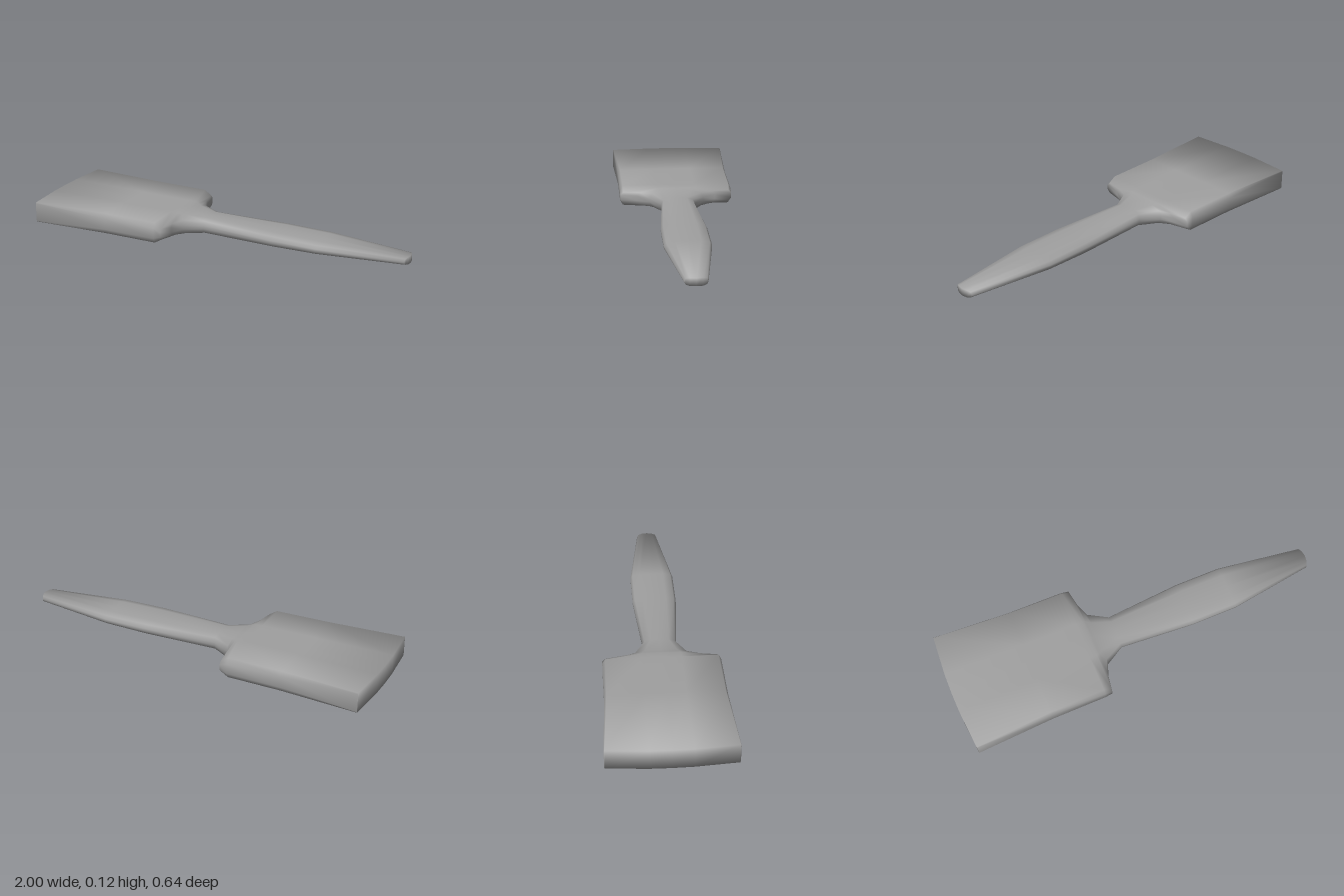
import * as THREE from 'three';

// Cross-sections along the length: x, half width, bottom, top, then as shares of
// the half width and half height: flat top, corner z, corner y, upright edge
const STATIONS = [
  [-1.0, 0.318, 0.015, 0.123, 0.33, 0.99, 1, 0.9],
  [-0.57, 0.302, 0.009, 0.118, 0.33, 0.96, 1, 0.55],
  [-0.28, 0.301, 0.004, 0.113, 0.33, 0.95, 1, 0.5],
  [-0.24, 0.3, 0.003, 0.111, 0.33, 0.95, 0.55, 0.25],
  [-0.225, 0.21, 0.002, 0.108, 0.45, 0.93, 0.6, 0.25],
  [-0.2, 0.145, 0.0, 0.102, 0.55, 0.9, 0.7, 0.2],
  [-0.1, 0.087, 0.007, 0.092, 0.55, 0.9, 0.75, 0.2],
  [0.3, 0.117, 0.011, 0.081, 0.55, 0.9, 0.75, 0.2],
  [0.54, 0.117, 0.013, 0.073, 0.55, 0.9, 0.75, 0.2],
  [1.0, 0.055, 0.017, 0.056, 0.55, 0.9, 0.75, 0.2],
];
const HALF = 8, RING = 14;

// One closed ring of [z, y] points, starting at the top centre and going to +z
function section([, w, y0, y1, flat, cornerZ, cornerY, edge]) {
  const mid = (y0 + y1) / 2, h = (y1 - y0) / 2;
  const quarter = [[0, 1], [flat, 1], [cornerZ, cornerY], [1, edge]];
  const half = [...quarter, ...quarter.map(([z, y]) => [z, -y]).reverse()];
  const other = half.slice(1, -1).map(([z, y]) => [-z, y]).reverse();
  return [...half, ...other].map(([z, y]) => [z * w, mid + y * h]);
}

// Smooth normals in which each face counts by its angle at the corner
function smoothNormals(positions, index) {
  const point = (i) => new THREE.Vector3().fromArray(positions, i * 3);
  const normals = positions.map(() => 0);
  for (let t = 0; t < index.length; t += 3) {
    for (let c = 0; c < 3; c++) {
      const [i, j, k] = [0, 1, 2].map((d) => index[t + (c + d) % 3]);
      const u = point(j).sub(point(i)), v = point(k).sub(point(i));
      const angle = u.angleTo(v);
      u.cross(v).normalize().multiplyScalar(angle);
      u.toArray().forEach((value, axis) => { normals[i * 3 + axis] += value; });
    }
  }
  return normals;
}

function loft() {
  const positions = [], index = [];
  const last = STATIONS.length - 1;
  const quad = (a, b, c, d) => index.push(a, b, c, a, c, d);
  STATIONS.forEach((s, k) => {
    // both ends are slightly bowed
    const bow = k === 0 ? 0.018 : k === last ? -0.016 : 0;
    for (const [z, y] of section(s)) positions.push(s[0] + bow * (z / s[1]) ** 2, y, z);
  });
  for (let k = 0; k < last; k++) {
    for (let i = 0; i < RING; i++) {
      const a = k * RING + i, b = k * RING + (i + 1) % RING;
      quad(a, b, b + RING, a + RING);
    }
  }
  // blade end and grip tip, closed by strips from top to bottom
  const tip = last * RING;
  for (let i = 0; i < HALF / 2 - 1; i++) {
    const r = [i, i + 1, HALF - 2 - i, HALF - 1 - i];
    const l = r.map((p) => (RING - p) % RING);
    quad(r[3], r[2], r[1], r[0]);
    quad(l[0], l[1], l[2], l[3]);
    quad(tip + r[0], tip + r[1], tip + r[2], tip + r[3]);
    quad(tip + l[3], tip + l[2], tip + l[1], tip + l[0]);
  }
  const geometry = new THREE.BufferGeometry();
  geometry.setAttribute('position', new THREE.Float32BufferAttribute(positions, 3));
  geometry.setAttribute('normal', new THREE.Float32BufferAttribute(smoothNormals(positions, index), 3));
  geometry.setIndex(index);
  geometry.normalizeNormals();
  return geometry;
}

export function createModel() {
  const group = new THREE.Group();
  group.name = 'paddle';
  // wide blade, shoulders and tapered grip in one smooth skin
  const body = new THREE.Mesh(loft(), new THREE.MeshStandardMaterial({ color: 0xa0a0a0, side: THREE.DoubleSide }));
  body.name = 'bladeAndHandle';
  group.add(body);
  return group;
}
